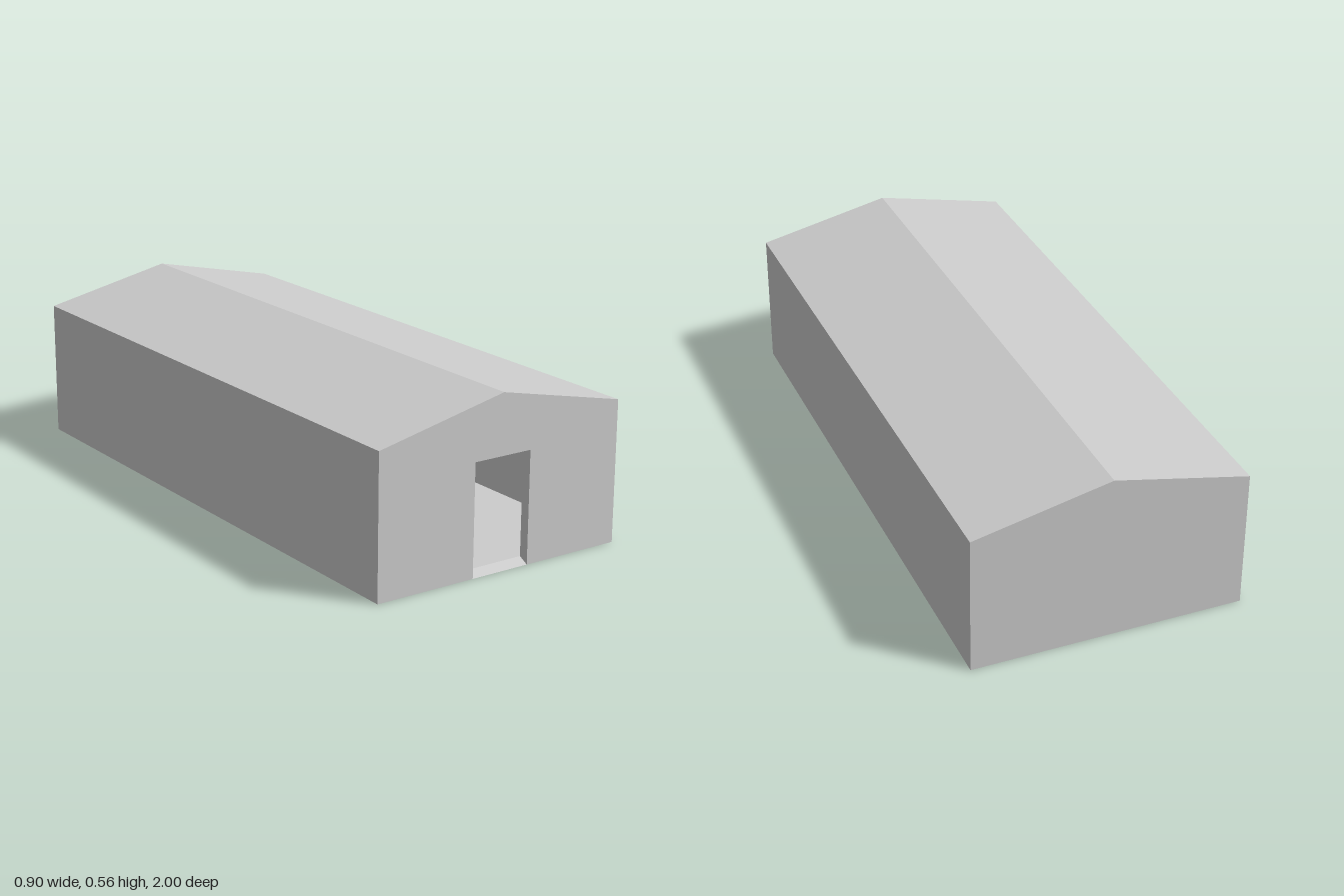
import * as THREE from 'three';

const W = 0.45, D = 1;             // half width, half depth
const T = 0.033;                   // wall thickness
const EAVE = 0.465, RIDGE = 0.563;
const DOOR_L = -0.101, DOOR_R = 0.107, DOOR_TOP = 0.366;
const FLOOR = 0.017;

const material = new THREE.MeshStandardMaterial({ color: 0xcccccc, flatShading: true });

const toPoints = (list) => list.map(([a, b]) => new THREE.Vector2(a, b));

function extrude(points, depth, hole) {
  const shape = new THREE.Shape(toPoints(points));
  if (hole) shape.holes.push(new THREE.Path(toPoints(hole)));
  return new THREE.ExtrudeGeometry(shape, { depth, bevelEnabled: false });
}

// Extrudes a plan given as (x, -z) upwards from y0 to y1
function extrudeUp(points, y0, y1, hole) {
  return extrude(points, y1 - y0, hole).rotateX(-Math.PI / 2).translate(0, y0, 0);
}

const rectangle = (w, d) => [[-w, -d], [w, -d], [w, d], [-w, d]];

export function createModel() {
  const group = new THREE.Group();
  const add = (name, geometry) => {
    const mesh = new THREE.Mesh(geometry, material);
    mesh.name = name;
    group.add(mesh);
  };
  const iw = W - T, id = D - T;

  // Walls up to the door head: one ring, open at the doorway
  add('lowerWalls', extrudeUp([
    [DOOR_R, -D], [W, -D], [W, D], [-W, D], [-W, -D], [DOOR_L, -D],
    [DOOR_L, -id], [-iw, -id], [-iw, id], [iw, id], [iw, -id], [DOOR_R, -id],
  ], 0, DOOR_TOP));

  // Closed ring above the doorway
  add('upperWalls', extrudeUp(rectangle(W, D), DOOR_TOP, EAVE, rectangle(iw, id)));

  // Gabled roof with a flat ceiling underneath
  add('roof', extrude([[-W, EAVE], [W, EAVE], [0, RIDGE]], 2 * D).translate(0, 0, -D));

  // Raised floor inside the walls
  add('floor', extrudeUp(rectangle(iw, id), 0, FLOOR));

  // Sloped threshold in the doorway, rising to the floor
  const ramp = extrude([[-D, 0], [-id, 0], [-id, FLOOR]], DOOR_R - DOOR_L);
  add('doorRamp', ramp.rotateY(Math.PI / 2).translate(DOOR_L, 0, 0));

  return group;
}
